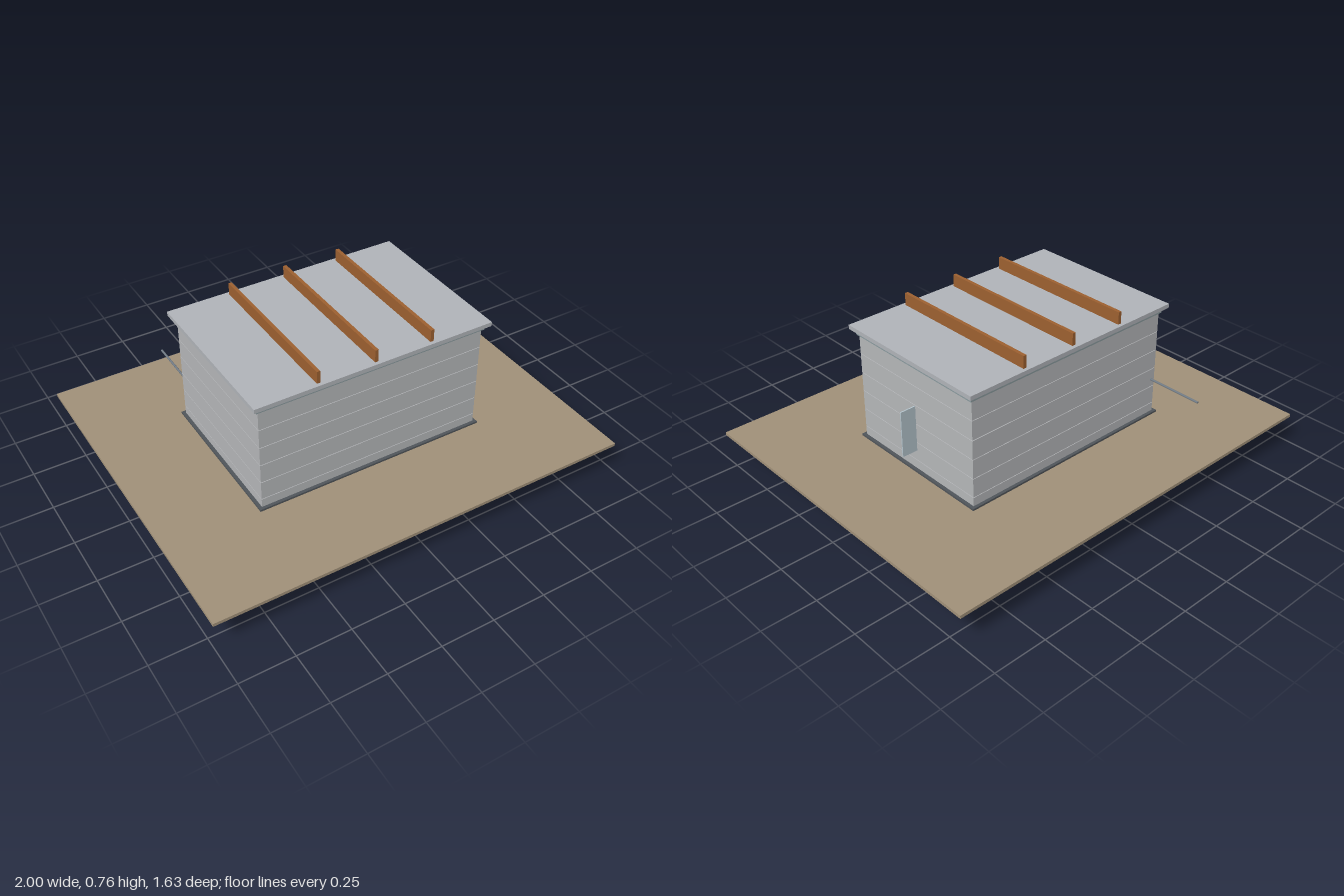
import * as THREE from 'three';

const mat = (color) => new THREE.MeshStandardMaterial({ color });
const grey = mat(0xcccccc), wallGrey = mat(0xb4b6b8), roofGrey = mat(0xb0b3b8);
const dark = mat(0x50555a), trim = mat(0x8a9a9e), steel = mat(0x707a84);
const glass = mat(0xb4c4cc), earth = mat(0xa09078), gold = mat(0xb08c20), wood = mat(0x9c6030);

export function createModel() {
  const model = new THREE.Group();

  const add = (name, geometry, material) => {
    const mesh = new THREE.Mesh(geometry, material);
    mesh.name = name;
    model.add(mesh);
    return mesh;
  };

  // Box from its lower and upper corner
  const box = (name, material, [x0, y0, z0], [x1, y1, z1]) =>
    add(name, new THREE.BoxGeometry(x1 - x0, y1 - y0, z1 - z0), material)
      .position.set((x0 + x1) / 2, (y0 + y1) / 2, (z0 + z1) / 2);

  // Centred box layer from half extents
  const layer = (name, material, hx, hz, y0, y1) =>
    box(name, material, [-hx, y0, -hz], [hx, y1, hz]);

  // Centred layer with rounded plan corners
  const roundedLayer = (name, material, hx, hz, r, y0, y1) => {
    const s = new THREE.Shape();
    s.absarc(hx - r, hz - r, r, 0, Math.PI / 2);
    s.absarc(r - hx, hz - r, r, Math.PI / 2, Math.PI);
    s.absarc(r - hx, r - hz, r, Math.PI, Math.PI * 1.5);
    s.absarc(hx - r, r - hz, r, Math.PI * 1.5, Math.PI * 2);
    const g = new THREE.ExtrudeGeometry(s, { depth: y1 - y0, bevelEnabled: false, curveSegments: 6 });
    add(name, g.rotateX(-Math.PI / 2).translate(0, y0, 0), material);
  };

  // Foundation: stepped grey plinth under a gold rim
  roundedLayer('plinthFoot', grey, 0.59, 0.405, 0.06, 0.002, 0.065);
  roundedLayer('plinthNeck', wallGrey, 0.575, 0.39, 0.05, 0.065, 0.11);
  roundedLayer('plinthRim', gold, 0.6, 0.415, 0.05, 0.11, 0.133);

  // Pairs of gold blocks around each corner
  for (const sx of [-1, 1]) for (const sz of [-1, 1]) {
    const block = (w, d, x, z) =>
      add('cornerBlock', new THREE.BoxGeometry(w, 0.132, d), gold).position.set(sx * x, 0.066, sz * z);
    block(0.1, 0.035, 0.51, 0.3975);
    block(0.035, 0.1, 0.5825, 0.33);
  }

  // Ground slab and base flashing
  layer('groundSlab', earth, 1, 0.815, 0.132, 0.147);
  layer('baseFlashing', dark, 0.56, 0.38, 0.147, 0.156);

  // Walls: stacked panels separated by fine recessed seams
  layer('wallCore', wallGrey, 0.542, 0.362, 0.15, 0.688);
  const seams = [0.155, 0.2, 0.292, 0.385, 0.477, 0.57, 0.664];
  for (let i = 0; i < seams.length - 1; i++)
    layer('wallPanel', wallGrey, 0.545, 0.365, seams[i], seams[i + 1] - 0.003);

  // Eaves trim and roof
  layer('eavesTrim', trim, 0.555, 0.373, 0.662, 0.677);
  layer('roof', roofGrey, 0.575, 0.395, 0.687, 0.707);
  for (const x of [-0.275, 0, 0.275])
    box('roofBeam', wood, [x - 0.008, 0.705, -0.378], [x + 0.008, 0.765, 0.378]);

  // Projecting panel on the left wall and rod on the back wall
  box('sidePanel', glass, [0.54, 0.25, -0.003], [0.62, 0.47, 0.003]);
  add('rearRod', new THREE.CylinderGeometry(0.005, 0.005, 0.28, 12).rotateX(Math.PI / 2), steel)
    .position.set(-0.523, 0.33, -0.5);

  return model;
}
